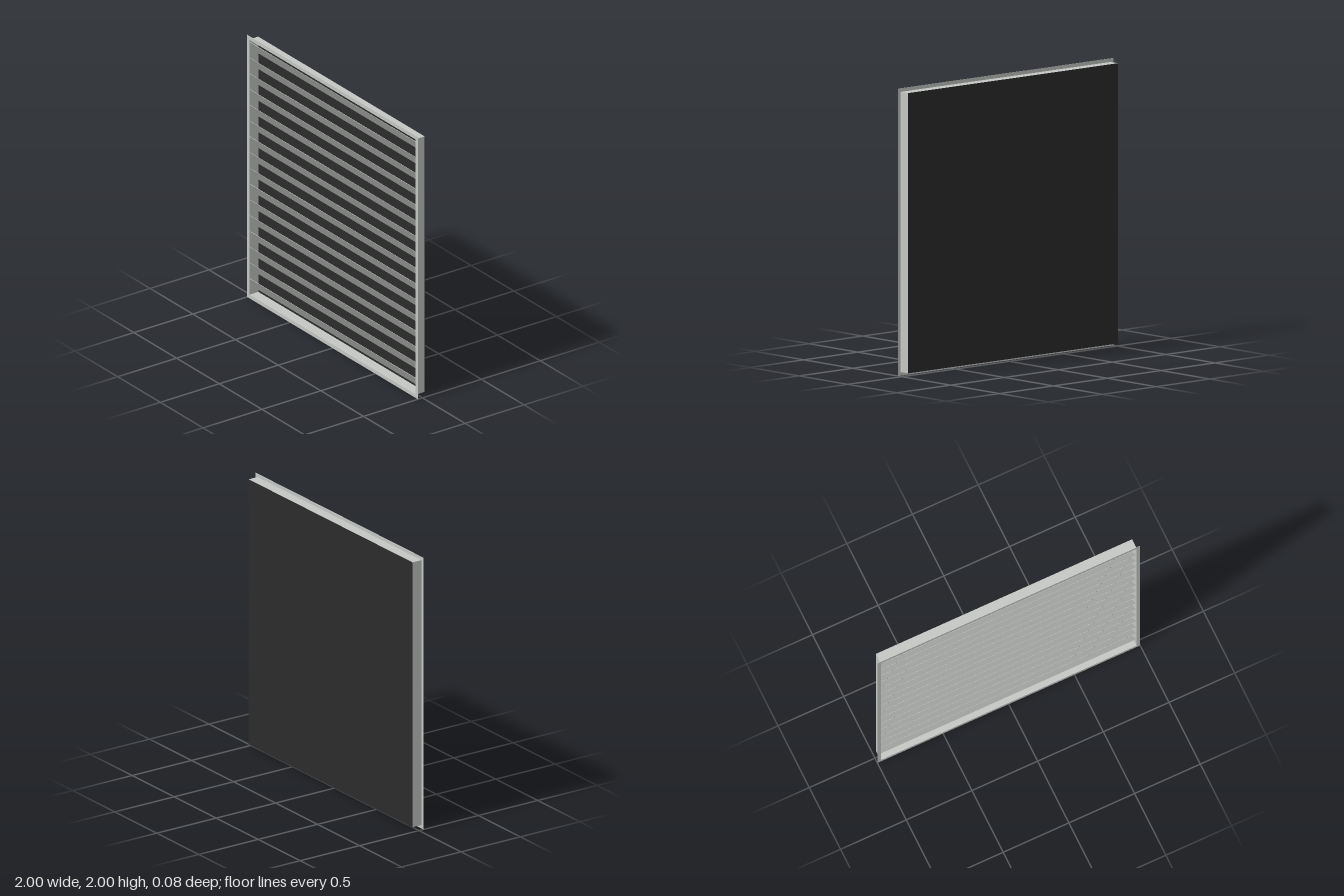
import * as THREE from 'three';

const HALF_DEPTH = 0.039;
const OPENING = 0.975; // half size of the recessed box
const WALL = 0.003;

// Square ring extruded from z0 to z1
function squareRing(outer, inner, z0, z1) {
  const square = (h, Type) => new Type([
    new THREE.Vector2(-h, -h), new THREE.Vector2(h, -h),
    new THREE.Vector2(h, h), new THREE.Vector2(-h, h),
  ]);
  const shape = square(outer, THREE.Shape);
  shape.holes.push(square(inner, THREE.Path));
  const geo = new THREE.ExtrudeGeometry(shape, { depth: z1 - z0, bevelEnabled: false });
  return geo.translate(0, 1, z0);
}

export function createModel() {
  const metal = new THREE.MeshStandardMaterial({ color: 0xc4c7c4 });
  metal.name = 'light grey metal';
  const black = new THREE.MeshStandardMaterial({ color: 0x2b2b2b });
  black.name = 'black backing';

  const group = new THREE.Group();
  group.name = 'louvreGrille';
  const add = (name, geo, mat, parent = group) => {
    const mesh = new THREE.Mesh(geo, mat);
    mesh.name = name;
    parent.add(mesh);
    return mesh;
  };

  // Thin front flange and the box walls behind it
  add('frontFlange', squareRing(1, OPENING - WALL, HALF_DEPTH - 0.002, HALF_DEPTH), metal);
  add('boxWalls', squareRing(OPENING, OPENING - WALL, -HALF_DEPTH + 0.002, HALF_DEPTH - 0.002), metal);

  // Closed back
  const panel = add('backPanel', new THREE.BoxGeometry(2 * OPENING, 2 * OPENING, 0.002), black);
  panel.position.set(0, 1, -HALF_DEPTH + 0.001);

  // Sixteen slats, front edge high and back edge low
  const slats = new THREE.Group();
  slats.name = 'slats';
  group.add(slats);
  const count = 16, pitch = 0.1203, rise = 0.105, run = 0.072;
  const slatGeo = new THREE.BoxGeometry(2 * (OPENING - WALL), Math.hypot(rise, run), 0.002);
  for (let i = 0; i < count; i++) {
    const slat = add('slat', slatGeo, metal, slats);
    slat.position.set(0, 1 + (i - (count - 1) / 2) * pitch, 0);
    slat.rotation.x = Math.atan2(run, rise);
  }
  return group;
}
